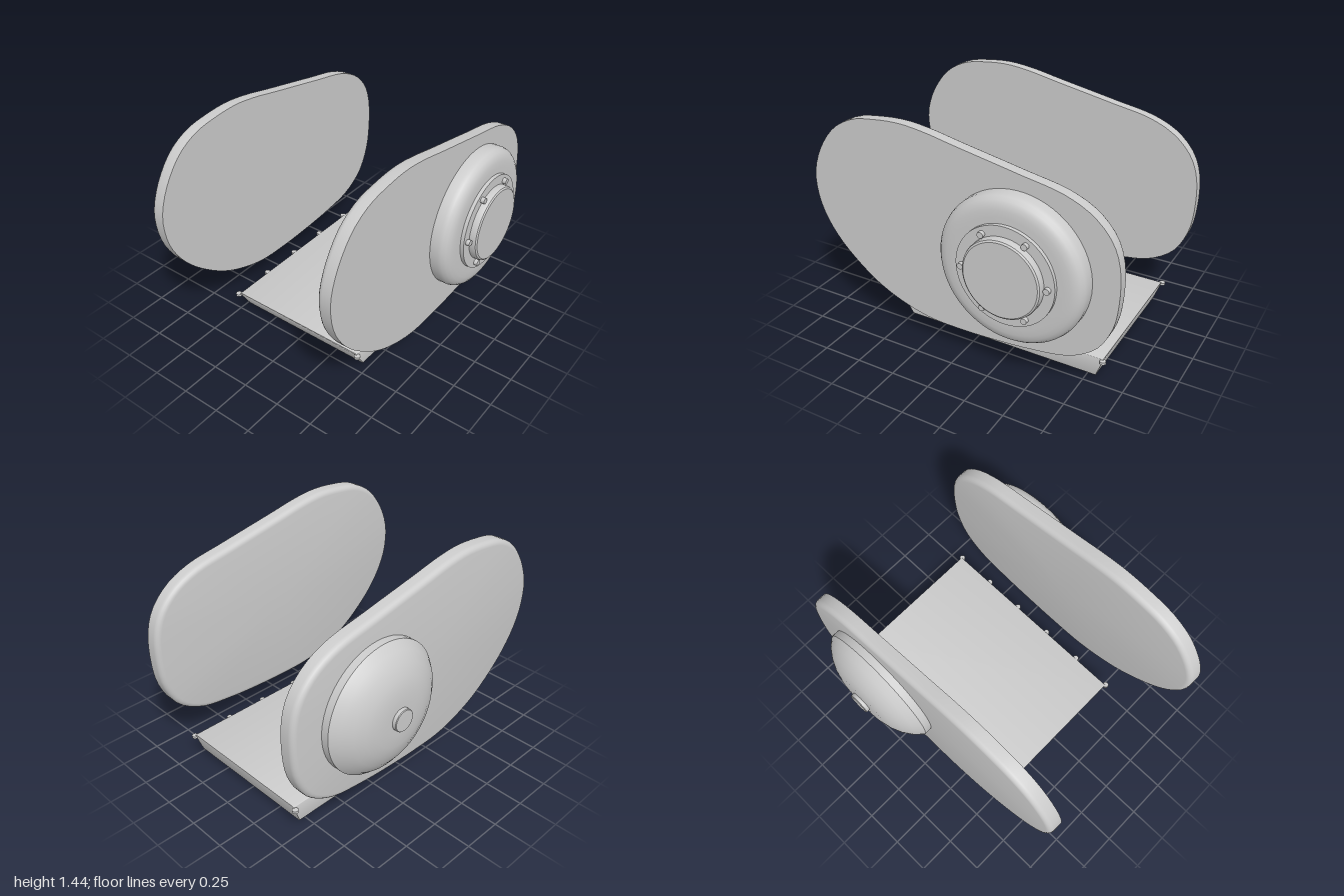
import * as THREE from 'three';
import { toCreasedNormals } from 'three/addons/utils/BufferGeometryUtils.js';

const metal = new THREE.MeshStandardMaterial({ color: 0xcccccc });
metal.name = 'light grey metal';

const CREASE = 0.6;

function part(name, geometry, x = 0, y = 0, z = 0) {
  const mesh = new THREE.Mesh(geometry, metal);
  mesh.name = name;
  mesh.position.set(x, y, z);
  return mesh;
}

// Egg-shaped plate outline, counter-clockwise
const outline = [
  [1, 0.64], [1, 0.9], [0.95, 1.05], [0.84, 1.17], [0.68, 1.25], [0.4, 1.308],
  [0, 1.385], [-0.18, 1.421], [-0.35, 1.44], [-0.52, 1.43], [-0.68, 1.4],
  [-0.82, 1.32], [-0.93, 1.18], [-0.985, 1.05], [-1, 0.95], [-0.97, 0.77],
  [-0.85, 0.57], [-0.6, 0.355], [-0.4, 0.258], [-0.2, 0.206], [0, 0.197],
  [0.25, 0.204], [0.5, 0.225], [0.73, 0.268], [0.89, 0.37], [0.97, 0.51],
];

// Plate with a flat +z face and a rounded rim on the -z side
function plateGeometry(depth) {
  const n = 96;
  const curve = new THREE.CatmullRomCurve3(
    outline.map(([x, y]) => new THREE.Vector3(x, y, 0)), true, 'centripetal');
  const pts = [], inward = [];
  for (let i = 0; i < n; i++) {
    pts.push(curve.getPointAt(i / n));
    const t = curve.getTangentAt(i / n);
    inward.push(new THREE.Vector3(-t.y, t.x, 0));
  }
  const r = 0.035;
  const rings = [[0, depth]];
  for (let k = 0; k <= 5; k++) {
    const a = (k / 5) * Math.PI / 2;
    rings.push([r * (1 - Math.cos(a)), r * (1 - Math.sin(a))]);
  }
  const pos = [], index = [];
  for (const [inset, z] of rings) {
    for (let i = 0; i < n; i++) {
      const p = pts[i].clone().addScaledVector(inward[i], inset);
      pos.push(p.x, p.y, z);
    }
  }
  const front = rings.length * n, back = front + 1;
  pos.push(0, 0.8, depth, 0, 0.8, 0);
  const last = (rings.length - 1) * n;
  for (let i = 0; i < n; i++) {
    const j = (i + 1) % n;
    index.push(front, i, j, back, last + j, last + i);
    for (let k = 0; k < rings.length - 1; k++) {
      const a = k * n, b = a + n;
      index.push(a + i, b + i, b + j, a + i, b + j, a + j);
    }
  }
  const g = new THREE.BufferGeometry();
  g.setAttribute('position', new THREE.Float32BufferAttribute(pos, 3));
  g.setIndex(index);
  return toCreasedNormals(g, CREASE);
}

// Turned part whose axis runs along +z (dir 1) or -z (dir -1)
function turned(profile, dir, sides = 64) {
  const g = new THREE.LatheGeometry(profile.map(([r, h]) => new THREE.Vector2(r, h)), sides);
  g.rotateX(dir * Math.PI / 2);
  return toCreasedNormals(g, CREASE);
}

// Pan: rounded cross-section swept along x, with sloping ends
function panGeometry() {
  const w = 0.47, lo = 0.035, hi = 0.175, r = 0.025;
  const s = new THREE.Shape();
  s.moveTo(w - 0.01, hi);
  s.lineTo(-w + 0.01, hi);
  s.quadraticCurveTo(-w, hi, -w, hi - 0.01);
  s.lineTo(-w, lo + r);
  s.quadraticCurveTo(-w, lo, -w + r, lo);
  s.lineTo(w - r, lo);
  s.quadraticCurveTo(w, lo, w, lo + r);
  s.lineTo(w, hi - 0.01);
  s.quadraticCurveTo(w, hi, w - 0.01, hi);
  const g = new THREE.ExtrudeGeometry(s, { depth: 1, bevelEnabled: false, curveSegments: 5 });
  g.rotateY(Math.PI / 2);
  const p = g.attributes.position;
  for (let i = 0; i < p.count; i++) {
    const drop = Math.max(0, 0.162 - p.getY(i)) / 0.127;
    p.setX(i, p.getX(i) < 0.5 ? -0.535 + 0.08 * drop : 0.865 - 0.048 * drop);
  }
  return toCreasedNormals(g, CREASE);
}

export function createModel() {
  const model = new THREE.Group();
  model.name = 'casing covers';

  // Front and rear plates
  const plate = plateGeometry(0.092);
  model.add(part('frontPlate', plate, 0, 0, 0.567));
  model.add(part('rearPlate', plate, 0, 0, -0.637));

  // Front round cover with stepped flange and centre cap
  const front = new THREE.Group();
  front.name = 'frontCover';
  front.position.set(0.395, 0.755, 0.655);
  front.add(part('frontDrum', turned([
    [0.455, 0], [0.455, 0.055], [0.448, 0.078], [0.432, 0.098], [0.41, 0.111],
    [0.38, 0.118], [0.34, 0.12], [0, 0.12]], 1)));
  front.add(part('flange', turned([[0.305, 0.115], [0.305, 0.143], [0, 0.143]], 1)));
  front.add(part('centreCap', turned([
    [0.242, 0.14], [0.242, 0.172], [0.238, 0.184], [0.228, 0.191], [0, 0.191]], 1)));
  const bolt = new THREE.CylinderGeometry(0.019, 0.019, 0.03, 16).rotateX(Math.PI / 2);
  for (let i = 0; i < 6; i++) {
    const a = i * Math.PI / 3;
    front.add(part('flangeBolt', bolt, 0.265 * Math.cos(a), 0.265 * Math.sin(a), 0.152));
  }
  model.add(front);

  // Rear domed cover with a small knob
  const rear = new THREE.Group();
  rear.name = 'rearCover';
  rear.position.set(0.39, 0.752, -0.635);
  rear.add(part('rearDome', turned([
    [0.415, 0], [0.415, 0.05], [0.372, 0.098], [0.315, 0.138], [0.25, 0.167],
    [0.18, 0.185], [0.1, 0.189], [0, 0.19]], -1)));
  rear.add(part('rearKnob', turned([
    [0.07, 0.18], [0.07, 0.212], [0.066, 0.216], [0, 0.217]], -1, 32)));
  model.add(rear);

  // Bottom pan, edge bolts and drain plug
  model.add(part('pan', panGeometry(), 0, 0, 0.013));
  const panBolt = new THREE.CylinderGeometry(0.019, 0.019, 0.016, 16);
  for (const z of [-0.47, 0.488]) {
    for (let i = 0; i < 6; i++) {
      model.add(part('panBolt', panBolt, -0.535 + 0.28 * i, 0.158, z));
    }
  }
  const plug = toCreasedNormals(new THREE.CylinderGeometry(0.043, 0.043, 0.04, 6), CREASE);
  model.add(part('drainPlug', plug, 0.165, 0.02, 0.013));

  return model;
}
